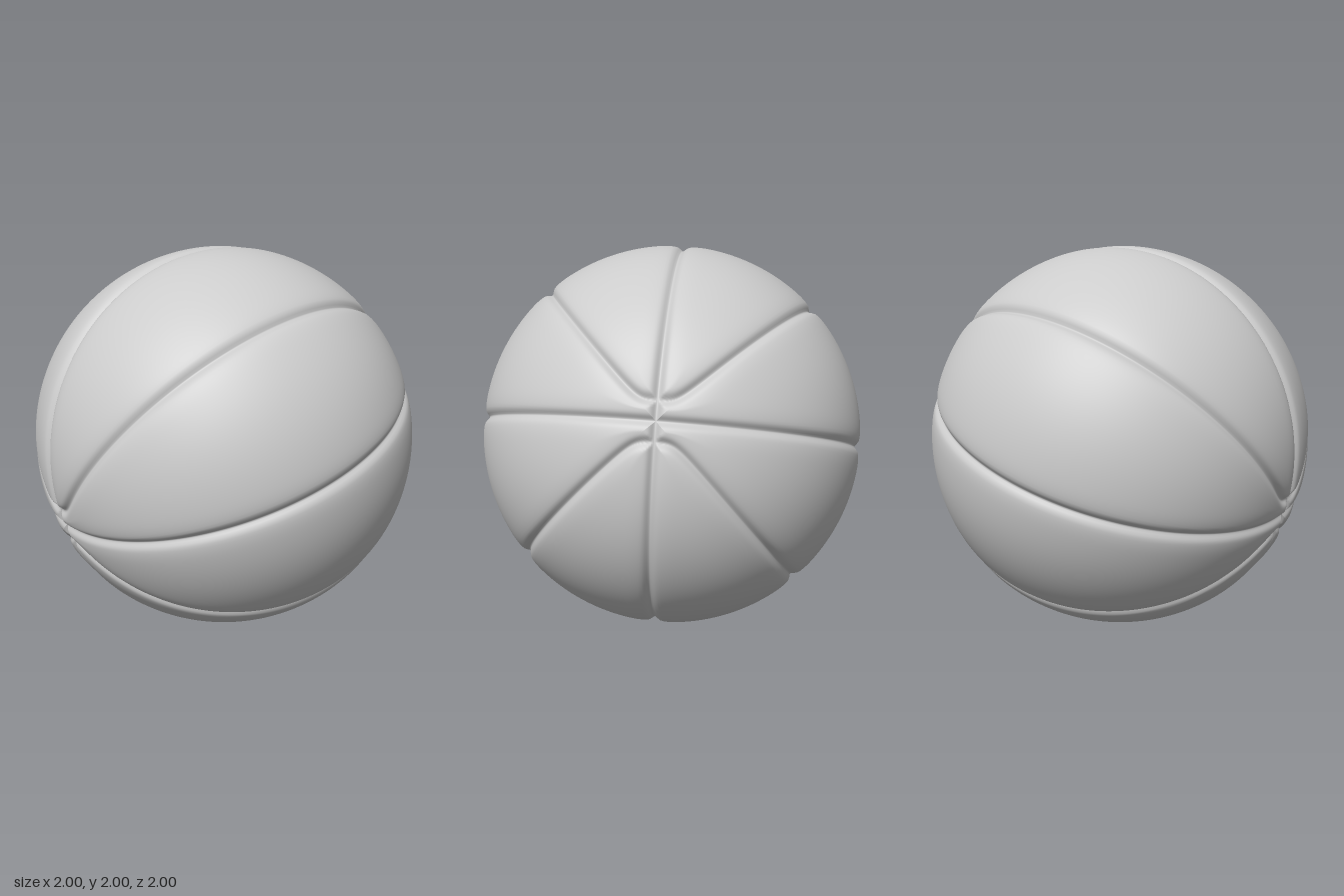
import * as THREE from 'three';
import { mergeVertices } from 'three/addons/utils/BufferGeometryUtils.js';

const SECTORS = 8, SEGS = 256, RINGS = 180;
const HUB = 0.095; // distance from the pole where the diagonal seams meet

// Distance from a unit direction to the nearest seam (pole axis is y)
function seamDistance(x, z) {
  const a = Math.abs(x), b = Math.abs(z);
  const s = a ** 4 + HUB ** 4;
  const curve = s ** 0.25;                 // 45 degree seam, rounded off near the pole
  const slope = a ** 3 / s ** 0.75;
  const diagonal = Math.abs(b - curve) / Math.hypot(1, slope);
  return Math.min(a, b, diagonal);
}

// Rounded groove with softly puffed panel edges
function radiusAt(d) {
  return 1 - 0.02 * Math.exp(-((d / 0.02) ** 2)) - 0.008 * Math.exp(-((d / 0.055) ** 2));
}

// Longitudes crowd around the seams, rings crowd around the poles
function longitude(i) {
  const per = SEGS / SECTORS;
  const k = Math.round(i / per);
  const s = (i - k * per) / (per / 2);
  return (k + 0.5 * Math.sign(s) * Math.abs(s) ** 1.5) * (2 * Math.PI / SECTORS);
}
function polarAngle(j) {
  const t = 1 - (2 * j) / RINGS;
  return Math.PI / 2 * (1 - Math.sign(t) * (1 - (1 - Math.abs(t)) ** 1.6));
}

function ballGeometry() {
  let geo = new THREE.SphereGeometry(1, SEGS, RINGS);
  const pos = geo.attributes.position;
  for (let j = 0, n = 0; j <= RINGS; j++) {
    const th = polarAngle(j);
    for (let i = 0; i <= SEGS; i++, n++) {
      const ph = longitude(i % SEGS);
      const x = -Math.cos(ph) * Math.sin(th), y = Math.cos(th), z = Math.sin(ph) * Math.sin(th);
      const r = radiusAt(seamDistance(x, z));
      pos.setXYZ(n, x * r, y * r, z * r);
    }
  }
  geo.deleteAttribute('uv');
  geo.deleteAttribute('normal');
  geo = mergeVertices(geo, 1e-6);
  geo.computeVertexNormals();
  return geo;
}

export function createModel() {
  const group = new THREE.Group();
  group.name = 'ball';

  const ball = new THREE.Mesh(ballGeometry(), new THREE.MeshStandardMaterial({ color: 0xcccccc }));
  ball.name = 'seamedBall';

  // Tilt the seam axis
  const pole = new THREE.Vector3(0.75, 0.32, -0.58).normalize();
  const side = new THREE.Vector3(0.595, 0.053, 0.8);
  side.addScaledVector(pole, -side.dot(pole)).normalize();
  const up = new THREE.Vector3().crossVectors(side, pole);
  ball.quaternion.setFromRotationMatrix(new THREE.Matrix4().makeBasis(side, pole, up));
  ball.position.y = 0.997;

  group.add(ball);
  return group;
}
